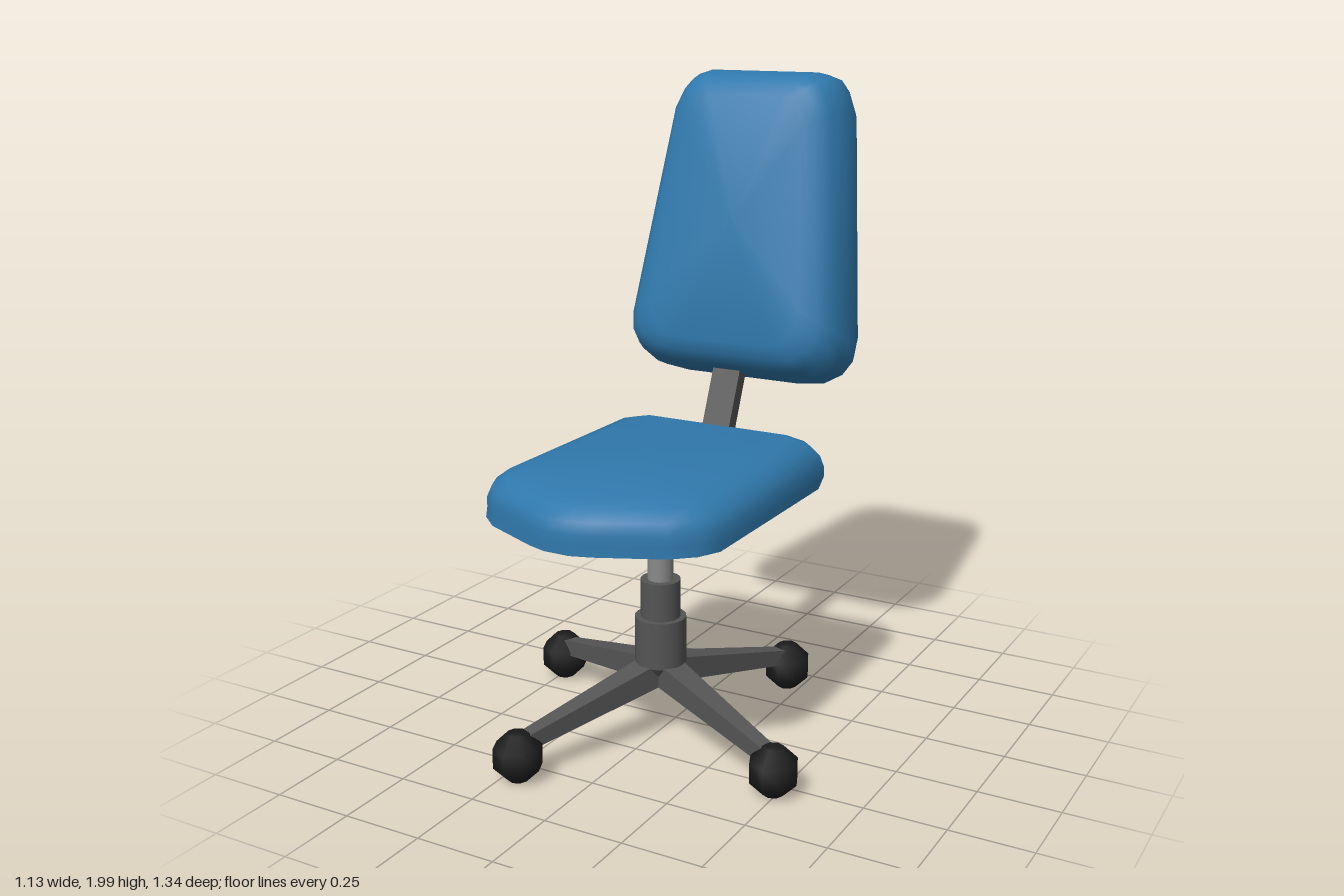
import * as THREE from 'three';
import { toCreasedNormals } from 'three/addons/utils/BufferGeometryUtils.js';

const material = (name, color) => {
  const m = new THREE.MeshStandardMaterial({ color });
  m.name = name;
  return m;
};

// Cushion lofted along +z from a mirrored half outline (bottom to top, x > 0).
// Each layer: [depth, side inset, bottom inset, top inset]
function cushion(half, layers) {
  const outline = [...half, ...half.slice().reverse().map(([x, v]) => [-x, v])];
  const n = outline.length;
  const xMax = Math.max(...half.map(p => p[0]));
  const vMin = half[0][1], vMax = half[half.length - 1][1];
  const pos = [], index = [];
  for (const [w, side, low, high] of layers) {
    for (const [x, v] of outline) {
      const t = (v - vMin) / (vMax - vMin);
      pos.push(x * (1 - side / xMax), vMin + low + t * (vMax - high - vMin - low), w);
    }
  }
  for (let k = 0; k < layers.length - 1; k++) {
    for (let i = 0; i < n; i++) {
      const a = k * n + i, b = k * n + (i + 1) % n;
      index.push(a, b, b + n, a, b + n, a + n);
    }
  }
  // End caps
  const last = (layers.length - 1) * n, centre = layers.length * n;
  const mid = (vMin + vMax) / 2;
  pos.push(0, mid, layers[0][0], 0, mid, layers[layers.length - 1][0]);
  for (let i = 0; i < n; i++) {
    const j = (i + 1) % n;
    index.push(centre, j, i, centre + 1, last + i, last + j);
  }
  const g = new THREE.BufferGeometry();
  g.setAttribute('position', new THREE.Float32BufferAttribute(pos, 3));
  g.setIndex(index);
  return toCreasedNormals(g, 0.75);
}

// Tapered bar along +x, from hub to tip
function armGeometry(length, drop) {
  const g = new THREE.BoxGeometry(length, 1, 1).translate(length / 2, 0, 0);
  const p = g.attributes.position;
  for (let i = 0; i < p.count; i++) {
    const t = p.getX(i) / length;
    p.setY(i, p.getY(i) * (0.08 - 0.03 * t) - drop * t);
    p.setZ(i, p.getZ(i) * (0.085 - 0.04 * t));
  }
  g.computeVertexNormals();
  return g;
}

export function createModel() {
  const fabric = material('blue fabric', 0x3079ad);
  const frame = material('dark grey frame', 0x555555);
  const steel = material('grey steel', 0x8a8a8a);
  const rubber = material('black rubber', 0x1c1c1c);

  const chair = new THREE.Group();
  chair.name = 'officeChair';
  const add = (name, geometry, mat, x = 0, y = 0, z = 0) => {
    const mesh = new THREE.Mesh(geometry, mat);
    mesh.name = name;
    mesh.position.set(x, y, z);
    chair.add(mesh);
    return mesh;
  };
  const columnZ = 0.095;

  // Seat: pointed front, square back, rounded upper edge
  const seat = cushion(
    [[0.04, -0.665], [0.1, -0.645], [0.287, -0.555], [0.35, -0.495], [0.383, -0.425],
      [0.383, 0.25], [0.345, 0.285]],
    [[0.77, 0, 0, 0.04], [0.8, 0, 0, 0], [0.83, 0, 0, 0], [0.865, 0.015, 0.008, 0],
      [0.893, 0.05, 0.035, 0.003], [0.91, 0.11, 0.095, 0.02]]);
  seat.rotateX(-Math.PI / 2);
  add('seat', seat, fabric);

  // Backrest: tapered and tilted back, softer on its front face
  const back = add('backrest', cushion(
    [[0.2, -0.48], [0.285, -0.47], [0.345, -0.435], [0.375, -0.39], [0.381, -0.33],
      [0.293, 0.38], [0.265, 0.445], [0.235, 0.48], [0.19, 0.495]],
    [[-0.122, 0.035, 0.045, 0.035], [-0.105, 0.01, 0.02, 0.015], [-0.075, 0, 0, 0],
      [0.0, 0.008, 0.012, 0.004], [0.065, 0.03, 0.035, 0.03],
      [0.1, 0.065, 0.07, 0.06], [0.118, 0.12, 0.11, 0.1]]),
  fabric, 0.01, 1.52, -0.455);
  back.rotation.x = -0.21;

  // Bar joining seat and backrest
  const bar = add('backBar', new THREE.BoxGeometry(0.095, 0.36, 0.045), frame, 0, 0.975, -0.312);
  bar.rotation.x = -0.4;

  // Central column
  const tube = (name, r, y0, y1, mat, rLow = r) => add(name,
    new THREE.CylinderGeometry(r, rLow, y1 - y0, 16), mat, 0, (y0 + y1) / 2, columnZ);
  tube('gasLift', 0.04, 0.48, 0.78, steel);
  tube('columnSleeve', 0.062, 0.36, 0.51, frame);
  tube('hub', 0.08, 0.24, 0.39, frame);
  tube('hubBase', 0.08, 0.175, 0.24, frame, 0.035);

  // Four arms, each ending in a faceted ball caster
  const arm = armGeometry(0.5, 0.1);
  const r = 0.08;
  const profile = [new THREE.Vector2(0, -r * Math.cos(Math.PI / 8))];
  for (let i = 0; i < 4; i++) {
    const a = Math.PI / 8 + i * Math.PI / 4;
    profile.push(new THREE.Vector2(r * Math.sin(a), -r * Math.cos(a)));
  }
  profile.push(new THREE.Vector2(0, r * Math.cos(Math.PI / 8)));
  const ball = new THREE.LatheGeometry(profile, 8);
  for (let k = 0; k < 4; k++) {
    const angle = 0.395 + k * Math.PI / 2;
    add('baseArm' + (k + 1), arm, frame, 0, 0.22, columnZ).rotation.y = -angle;
    add('caster' + (k + 1), ball, rubber,
      0.53 * Math.cos(angle), 0.08, columnZ + 0.53 * Math.sin(angle));
  }
  return chair;
}
